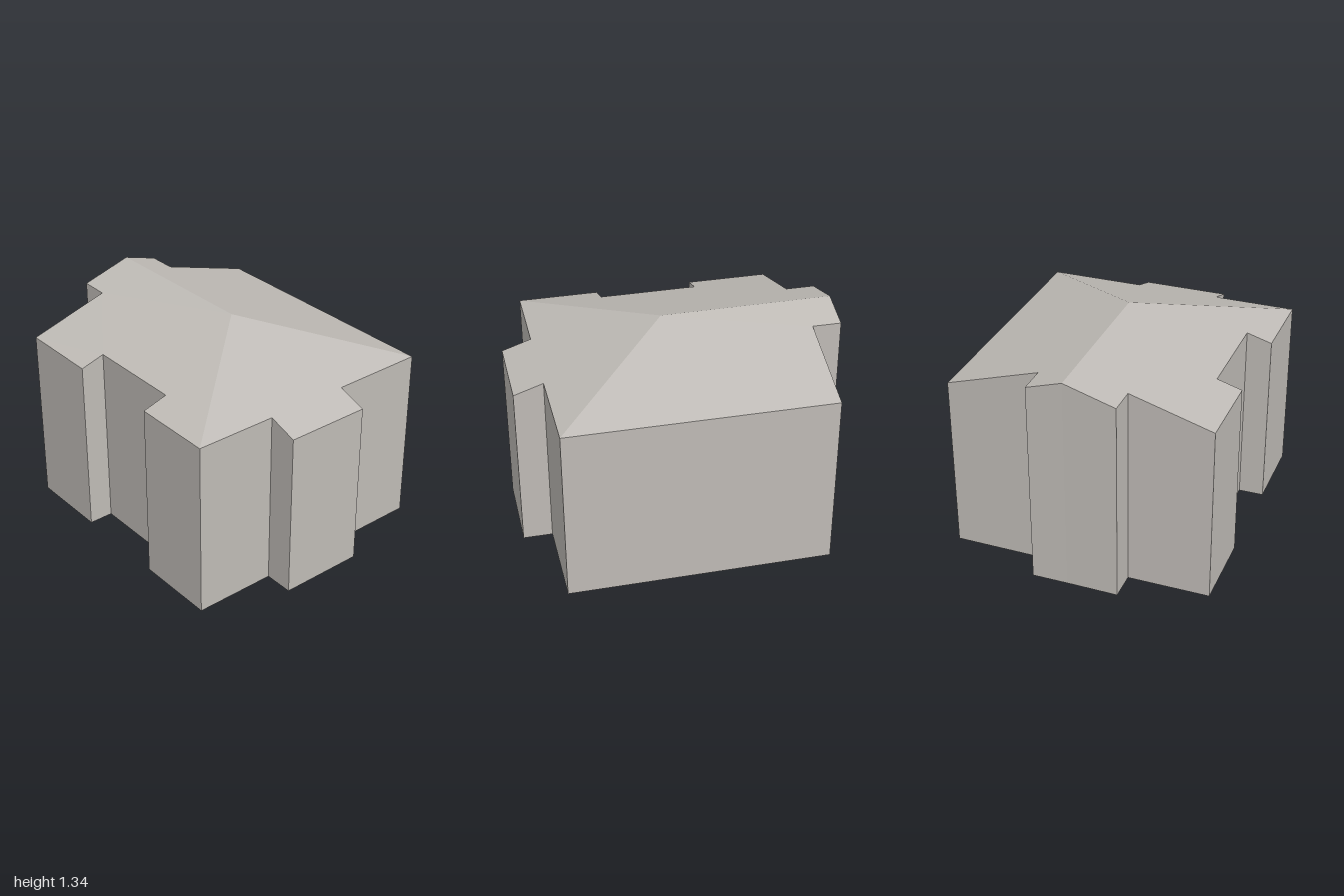
import * as THREE from 'three';

// Footprint corners [x, z], running from the back left corner round by the right
const outline = [
  [-0.73, -0.867], [0.865, -0.738], [0.82, -0.161], [0.998, -0.146], [0.955, 0.375],
  [0.778, 0.361], [0.736, 0.863], [0.24, 0.822], [0.252, 0.669], [-0.354, 0.62],
  [-0.366, 0.769], [-0.865, 0.727], [-0.825, 0.23], [-1, 0.215],
  [-0.972, -0.095], // gable end of the ridge
  [-0.955, -0.312], [-0.78, -0.298],
];
const apex = [0.07, -0.018];
const RIDGE = 1.335;
const EAVE = 1.092;

// Distances from the apex along (u) and across (v) the slightly turned ridge
const turn = Math.atan2(0.077, 1.042);
function local([x, z]) {
  const dx = x - apex[0], dz = z - apex[1];
  return [dx * Math.cos(turn) + dz * Math.sin(turn), dz * Math.cos(turn) - dx * Math.sin(turn)];
}

// Each slope is a plane through the apex and its eave
const drop = RIDGE - EAVE;
const backHip = local(outline[1]), frontHip = local(outline[6]);
const det = backHip[0] * frontHip[1] - frontHip[0] * backHip[1];
const hipU = drop * (frontHip[1] - backHip[1]) / det;
const hipV = drop * (backHip[0] - frontHip[0]) / det;
function roofHeight(p) {
  const [u, v] = local(p);
  const side = v > 0 ? drop * v / frontHip[1] : drop * v / backHip[1];
  return RIDGE - Math.max(side, hipU * u + hipV * v, 0);
}

function makeMesh(name, positions, material) {
  const geometry = new THREE.BufferGeometry();
  geometry.setAttribute('position', new THREE.Float32BufferAttribute(positions, 3));
  geometry.computeVertexNormals();
  const mesh = new THREE.Mesh(geometry, material);
  mesh.name = name;
  return mesh;
}

// Fills a polygon, facing up or down, at the height given for each corner
function fill(points, height, up) {
  const contour = points.map(([x, z]) => new THREE.Vector2(x, z));
  const positions = [];
  for (const [a, b, c] of THREE.ShapeUtils.triangulateShape(contour, [])) {
    for (const i of up ? [a, c, b] : [a, b, c]) {
      positions.push(points[i][0], height(points[i]), points[i][1]);
    }
  }
  return positions;
}

export function createModel() {
  const group = new THREE.Group();
  group.name = 'building';
  const stone = new THREE.MeshStandardMaterial({ color: 0xbfbbb6 });
  stone.name = 'warm grey';

  // Walls rise from the ground to the roof planes
  const walls = [];
  outline.forEach((a, i) => {
    const b = outline[(i + 1) % outline.length];
    const ha = roofHeight(a), hb = roofHeight(b);
    walls.push(a[0], 0, a[1], a[0], ha, a[1], b[0], hb, b[1]);
    walls.push(a[0], 0, a[1], b[0], hb, b[1], b[0], 0, b[1]);
  });
  group.add(makeMesh('walls', walls, stone));

  // Roof with a gable on the left and a hip on the right
  const slopes = {
    frontRoofSlope: outline.slice(6, 15),
    hipRoofSlope: outline.slice(1, 7),
    backRoofSlope: [...outline.slice(14), outline[0], outline[1]],
  };
  for (const [name, points] of Object.entries(slopes)) {
    group.add(makeMesh(name, fill([apex, ...points], roofHeight, true), stone));
  }

  // Underside
  group.add(makeMesh('floor', fill(outline, () => 0, false), stone));
  return group;
}
